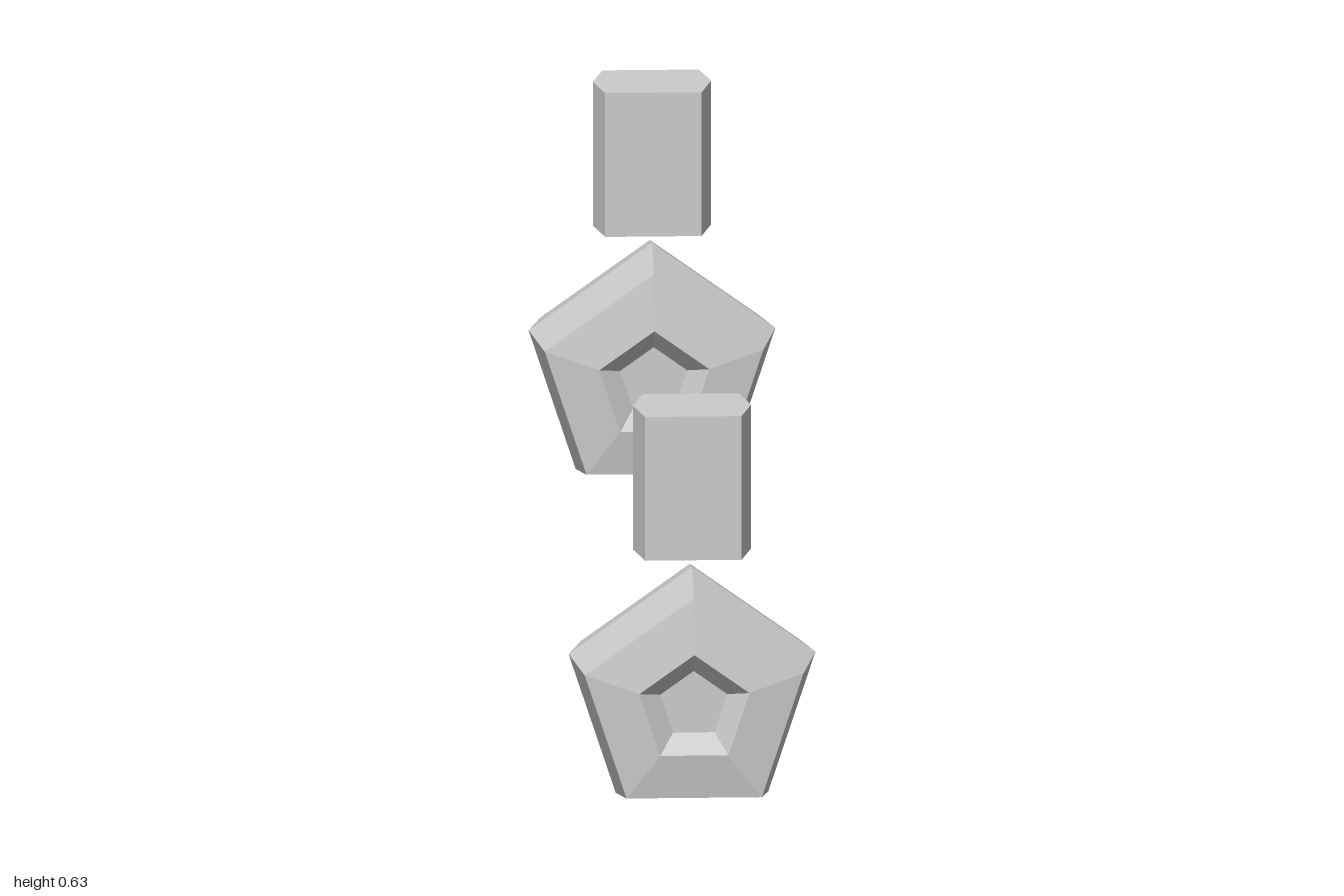
import * as THREE from 'three';

const WHEEL_Y = 0.163;
const AXLE_Z = 0.893;

// Five-sided wheel: bulged tread, shallow cone sides and a recessed hub
function wheelGeometry() {
  const half = [[0, 0.075], [0.055, 0.075], [0.09, 0.107], [0.179, 0.095]];
  const profile = [
    ...half.map(([r, h]) => new THREE.Vector2(r, -h)),
    new THREE.Vector2(0.202, 0),
    ...half.reverse().map(([r, h]) => new THREE.Vector2(r, h)),
  ];
  const geometry = new THREE.LatheGeometry(profile, 5, Math.PI, Math.PI * 2);
  return geometry.rotateX(Math.PI / 2);
}

// Upright six-sided block
function blockGeometry() {
  const outline = [[0.092, 0], [0.075, 0.063], [-0.075, 0.063], [-0.092, 0], [-0.075, -0.063], [0.075, -0.063]];
  const shape = new THREE.Shape(outline.map(([x, z]) => new THREE.Vector2(x, z)));
  const geometry = new THREE.ExtrudeGeometry(shape, { depth: 0.233, bevelEnabled: false });
  return geometry.rotateX(-Math.PI / 2);
}

export function createModel() {
  const model = new THREE.Group();
  const grey = new THREE.MeshStandardMaterial({ color: 0xcccccc });
  grey.name = 'light grey';
  grey.flatShading = true;

  const wheelShape = wheelGeometry();
  const blockShape = blockGeometry();

  // A wheel with its block above, at each end
  for (const [end, side] of [['front', 1], ['back', -1]]) {
    const wheel = new THREE.Mesh(wheelShape, grey);
    wheel.name = end + 'Wheel';
    wheel.position.set(0, WHEEL_Y, side * AXLE_Z);

    const block = new THREE.Mesh(blockShape, grey);
    block.name = end + 'Block';
    block.position.set(0, 0.394, side * AXLE_Z);

    model.add(wheel, block);
  }
  return model;
}
